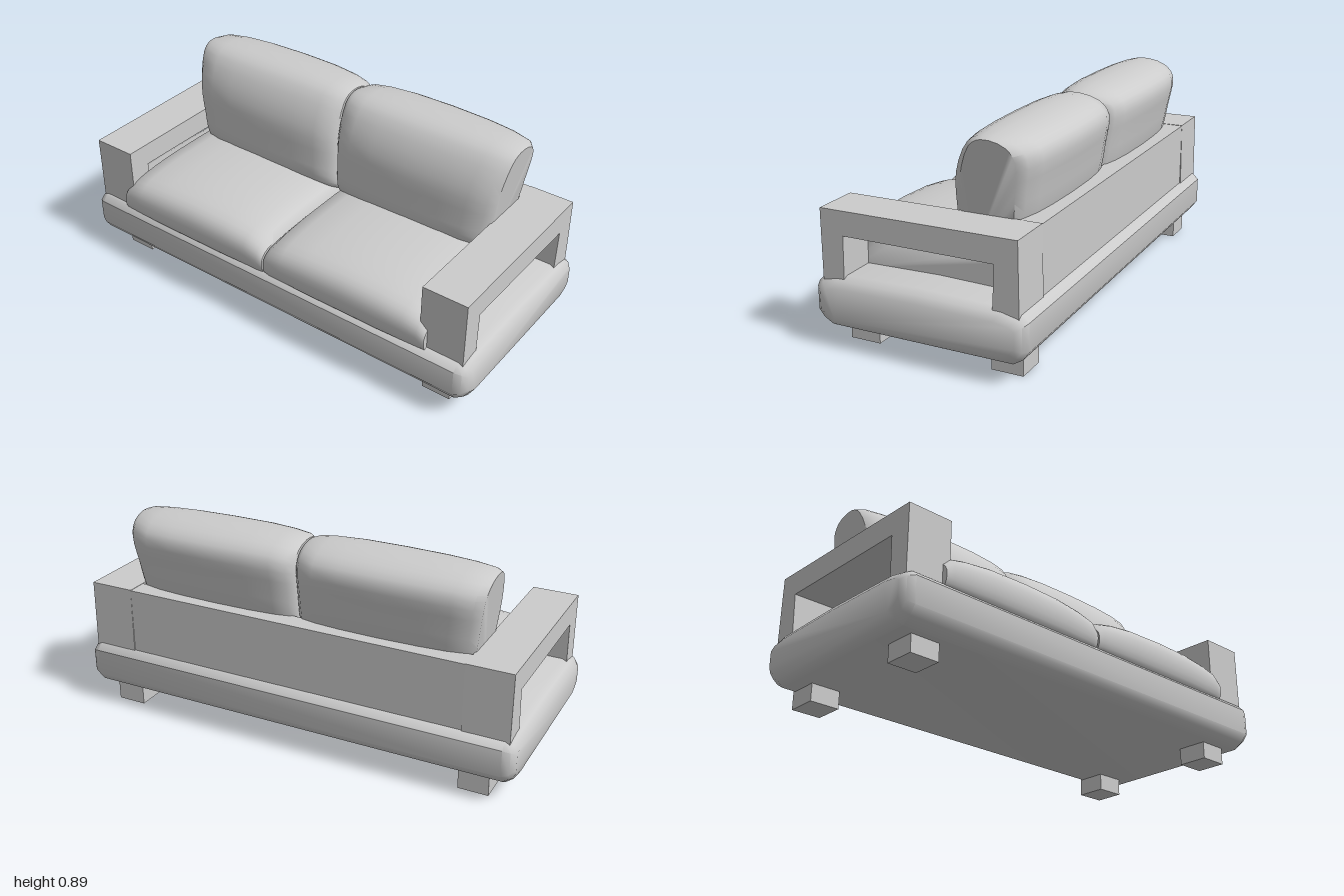
import * as THREE from 'three';
import { toCreasedNormals } from 'three/addons/utils/BufferGeometryUtils.js';

const upholstery = new THREE.MeshStandardMaterial({ color: 0xcccccc });
upholstery.name = 'light grey upholstery';

// Lofts a closed [z, y] profile (front going up, back going down) along x.
// Each section is [x, scaleZ, scaleY] about the pivot; taper narrows x below y = 0.85.
function loft(profile, sections, pivot, taper = 0) {
  const n = profile.length, pos = [], index = [];
  for (const [x, sz, sy] of sections) {
    for (const [z, y] of profile) {
      const py = pivot[1] + (y - pivot[1]) * sy;
      pos.push(x * (1 + taper * (py - 0.85)), py, pivot[0] + (z - pivot[0]) * sz);
    }
  }
  for (let s = 0; s < sections.length - 1; s++) {
    for (let i = 0; i < n; i++) {
      const a = s * n + i, c = s * n + (i + 1) % n;
      index.push(a, a + n, c, c, a + n, c + n);
    }
  }
  // End caps as fans
  const last = (sections.length - 1) * n;
  for (let i = 1; i < n - 1; i++) {
    index.push(0, i, i + 1, last, last + i + 1, last + i);
  }
  const g = new THREE.BufferGeometry();
  g.setAttribute('position', new THREE.Float32BufferAttribute(pos, 3));
  g.setIndex(index);
  return toCreasedNormals(g, 0.75);
}

// Rounds off a coarse profile
function smooth(points, count) {
  const curve = new THREE.CatmullRomCurve3(
    points.map(([z, y]) => new THREE.Vector3(z, y, 0)), true, 'centripetal');
  return curve.getPoints(count).slice(0, count).map(p => [p.x, p.y]);
}

const mirrored = sections => sections.map(([x, a, b]) => [-x, a, b]).reverse();

export function createModel() {
  const sofa = new THREE.Group();
  sofa.name = 'sofa';
  const add = (name, geometry, x = 0, y = 0, z = 0) => {
    const mesh = new THREE.Mesh(geometry, upholstery);
    mesh.name = name;
    mesh.position.set(x, y, z);
    sofa.add(mesh);
  };

  // Padded base with softened edges
  const baseProfile = [
    [0.39, 0.075], [0.43, 0.1], [0.455, 0.135], [0.455, 0.25], [0.43, 0.275], [0.36, 0.292],
    [0, 0.3], [-0.36, 0.292], [-0.43, 0.275], [-0.455, 0.25], [-0.455, 0.135], [-0.43, 0.1], [-0.39, 0.075],
  ];
  const baseEnd = [[0.95, 1, 1], [0.98, 0.97, 0.85], [1, 0.92, 0.6]];
  add('base', loft(baseProfile, [...mirrored(baseEnd), ...baseEnd], [0, 0.19]));

  // Arm frame: two posts and a top rail, open underneath
  const armShape = new THREE.Shape([
    [-0.42, 0.25], [-0.325, 0.25], [-0.32, 0.46], [0.325, 0.46], [0.315, 0.25],
    [0.425, 0.25], [0.42, 0.565], [-0.42, 0.56],
  ].map(([x, y]) => new THREE.Vector2(-x, y)).reverse());
  const armGeometry = new THREE.ExtrudeGeometry(armShape, { depth: 0.2, bevelEnabled: false });
  armGeometry.rotateY(-Math.PI / 2); // extrusion runs along -x, shape x becomes z
  add('leftArm', armGeometry, 0.97);
  add('rightArm', armGeometry, -0.77);

  // Back panel between the arms
  add('backPanel', new THREE.BoxGeometry(1.56, 0.31, 0.09), 0, 0.408, -0.375);

  // Cushions
  const seatProfile = smooth([
    [0.42, 0.255], [0.452, 0.29], [0.455, 0.38], [0.42, 0.43], [0.3, 0.462], [0.05, 0.475],
    [-0.2, 0.465], [-0.31, 0.42], [-0.33, 0.3], [-0.3, 0.255],
  ], 32);
  const seatSections = [
    [0.004, 0.97, 0.66], [0.03, 0.985, 0.8], [0.1, 0.99, 0.9], [0.22, 1, 0.97], [0.4, 1, 1],
    [0.58, 1, 0.97], [0.7, 0.99, 0.9], [0.77, 0.98, 0.82], [0.805, 0.97, 0.64],
  ];
  const backProfile = smooth([
    [-0.08, 0.4], [-0.02, 0.46], [-0.014, 0.57], [-0.024, 0.72], [-0.1, 0.855], [-0.185, 0.888],
    [-0.345, 0.865], [-0.403, 0.81], [-0.387, 0.68], [-0.36, 0.55], [-0.3, 0.42], [-0.2, 0.385],
  ], 36);
  const backSections = [
    [0.004, 0.66, 0.955], [0.03, 0.83, 0.975], [0.1, 0.92, 0.99], [0.22, 0.98, 1], [0.4, 1, 1],
    [0.58, 0.97, 0.995], [0.7, 0.91, 0.985], [0.785, 0.8, 0.97], [0.815, 0.62, 0.95],
  ];
  for (const side of ['left', 'right']) {
    const place = s => (side === 'left' ? s : mirrored(s));
    add(side + 'SeatCushion', loft(seatProfile, place(seatSections), [0, 0.258]));
    add(side + 'BackCushion', loft(backProfile, place(backSections), [-0.205, 0.39], 0.17));
  }

  // Block feet
  const foot = new THREE.BoxGeometry(0.13, 0.085, 0.133);
  for (const x of [-0.825, 0.825]) {
    const side = x > 0 ? 'left' : 'right';
    add(side + 'FrontFoot', foot, x, 0.0425, 0.293);
    add(side + 'RearFoot', foot, x, 0.0425, -0.335);
  }
  return sofa;
}
